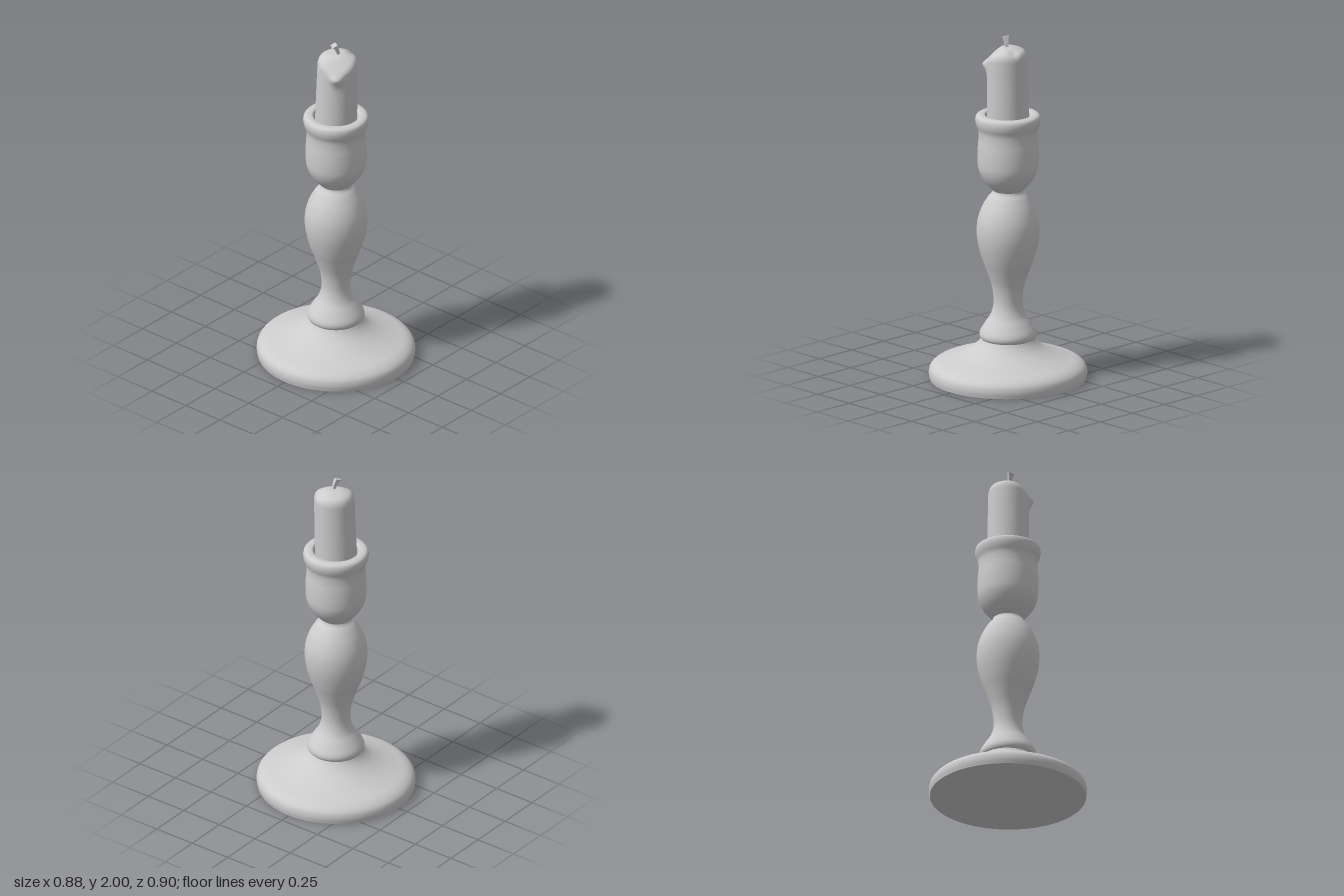
import * as THREE from 'three';
import { mergeVertices } from 'three/addons/utils/BufferGeometryUtils.js';

const V2 = (p) => new THREE.Vector2(p[0], p[1]);

// Smooth turned section through a few [radius, height] points
function turned(points, samples, material, name) {
  const curve = new THREE.SplineCurve(points.map(V2));
  const mesh = new THREE.Mesh(new THREE.LatheGeometry(curve.getPoints(samples), 72), material);
  mesh.name = name;
  return mesh;
}

// Flat or sharp-edged section, one lathe per straight segment
function straight(points, material, name) {
  const group = new THREE.Group();
  group.name = name;
  for (let i = 0; i < points.length - 1; i++) {
    group.add(new THREE.Mesh(new THREE.LatheGeometry([V2(points[i]), V2(points[i + 1])], 72), material));
  }
  return group;
}

const bump = (d, width) => Math.exp(-(d * d) / (width * width));

function createCandle(material) {
  const profile = new THREE.SplineCurve([
    [0.118, 1.46], [0.117, 1.6], [0.115, 1.75], [0.114, 1.84], [0.111, 1.885],
    [0.095, 1.913], [0.06, 1.928], [0.03, 1.933], [0, 1.934],
  ].map(V2)).getPoints(64);
  profile[profile.length - 1].x = 0;
  let geo = new THREE.LatheGeometry(profile, 64);
  geo.deleteAttribute('normal');
  geo.deleteAttribute('uv');
  geo = mergeVertices(geo, 1e-5);
  const pos = geo.attributes.position;
  for (let i = 0; i < pos.count; i++) {
    let x = pos.getX(i), y = pos.getY(i), z = pos.getZ(i);
    const r = Math.hypot(x, z);
    const angle = Math.atan2(z, x);
    const turn = Math.atan2(Math.sin(angle - 2.5), Math.cos(angle - 2.5));
    // wax drip on one shoulder
    const swell = 1 + 0.24 * bump(turn, 0.3) * bump(y - 1.835, 0.045);
    // sunken edge above the drip and a small dent opposite
    const top = THREE.MathUtils.smoothstep(y, 1.8, 1.93);
    const sunk = 0.045 * top * bump(turn, 0.9) * THREE.MathUtils.smoothstep(r, 0.02, 0.11);
    const dent = 0.012 * top * bump(x - 0.085, 0.025) * bump(z - 0.03, 0.025);
    // slight lean to the front
    const t = (y - 1.5) / 0.43;
    pos.setXYZ(i, x * swell + 0.004 * t, y - sunk - dent, z * swell + 0.011 * t);
  }
  geo.computeVertexNormals();
  const mesh = new THREE.Mesh(geo, material);
  mesh.name = 'candle';
  return mesh;
}

// Bent square wick, flaring towards its tip
function createWick(material) {
  const rings = [
    [0.004, 1.92, 0.014, 0.012], [-0.002, 1.952, 0.012, 0.013],
    [-0.012, 1.978, 0.006, 0.018], [-0.018, 1.99, 0.0, 0.022],
  ];
  const verts = [], index = [];
  rings.forEach(([x, y, z, r], k) => {
    for (let i = 0; i < 4; i++) {
      const a = i * Math.PI / 2 + 0.3;
      const dx = r * Math.cos(a);
      verts.push(x + dx, y + dx * (k === 3 ? 0.4 : 0), z - r * Math.sin(a));
      if (k < 3) {
        const p = k * 4 + i, q = k * 4 + (i + 1) % 4;
        index.push(p, q, q + 4, p, q + 4, p + 4);
      }
    }
  });
  index.push(12, 13, 14, 12, 14, 15);
  const indexed = new THREE.BufferGeometry();
  indexed.setAttribute('position', new THREE.Float32BufferAttribute(verts, 3));
  indexed.setIndex(index);
  const geo = indexed.toNonIndexed();
  geo.computeVertexNormals();
  const mesh = new THREE.Mesh(geo, material);
  mesh.name = 'wick';
  return mesh;
}

export function createModel() {
  const model = new THREE.Group();
  model.name = 'candlestick';
  const grey = new THREE.MeshStandardMaterial({ color: 0xcccccc });
  grey.name = 'plain grey';

  // Wide foot, very slightly deeper than wide
  const foot = new THREE.Group();
  foot.name = 'foot';
  foot.add(straight([[0, 0], [0.436, 0]], grey, 'underside'));
  foot.add(turned([
    [0.436, 0], [0.441, 0.035], [0.431, 0.07], [0.395, 0.098], [0.33, 0.12],
    [0.26, 0.146], [0.2, 0.178], [0.165, 0.208], [0.148, 0.232],
  ], 48, grey, 'footDome'));
  foot.scale.z = 1.016;
  model.add(foot);

  // Baluster stem with a bead at its lower end
  model.add(turned([
    [0.13, 0.226], [0.15, 0.231], [0.16, 0.25], [0.155, 0.277], [0.128, 0.322],
    [0.1, 0.365], [0.084, 0.415], [0.082, 0.47], [0.092, 0.54], [0.118, 0.62],
    [0.147, 0.7], [0.168, 0.78], [0.176, 0.85], [0.171, 0.92], [0.149, 0.99],
    [0.115, 1.05], [0.09, 1.08], [0.084, 1.096],
  ], 100, grey, 'stem'));

  // Cup with a rolled rim
  model.add(turned([
    [0.084, 1.094], [0.106, 1.115], [0.143, 1.163], [0.165, 1.215], [0.171, 1.27],
    [0.17, 1.34], [0.166, 1.4], [0.168, 1.445], [0.18, 1.48], [0.184, 1.508],
    [0.178, 1.53], [0.16, 1.539], [0.135, 1.538], [0.126, 1.53],
  ], 90, grey, 'cup'));
  model.add(straight([[0.126, 1.53], [0.124, 1.47], [0, 1.47]], grey, 'socket'));

  model.add(createCandle(grey));
  model.add(createWick(grey));
  return model;
}
